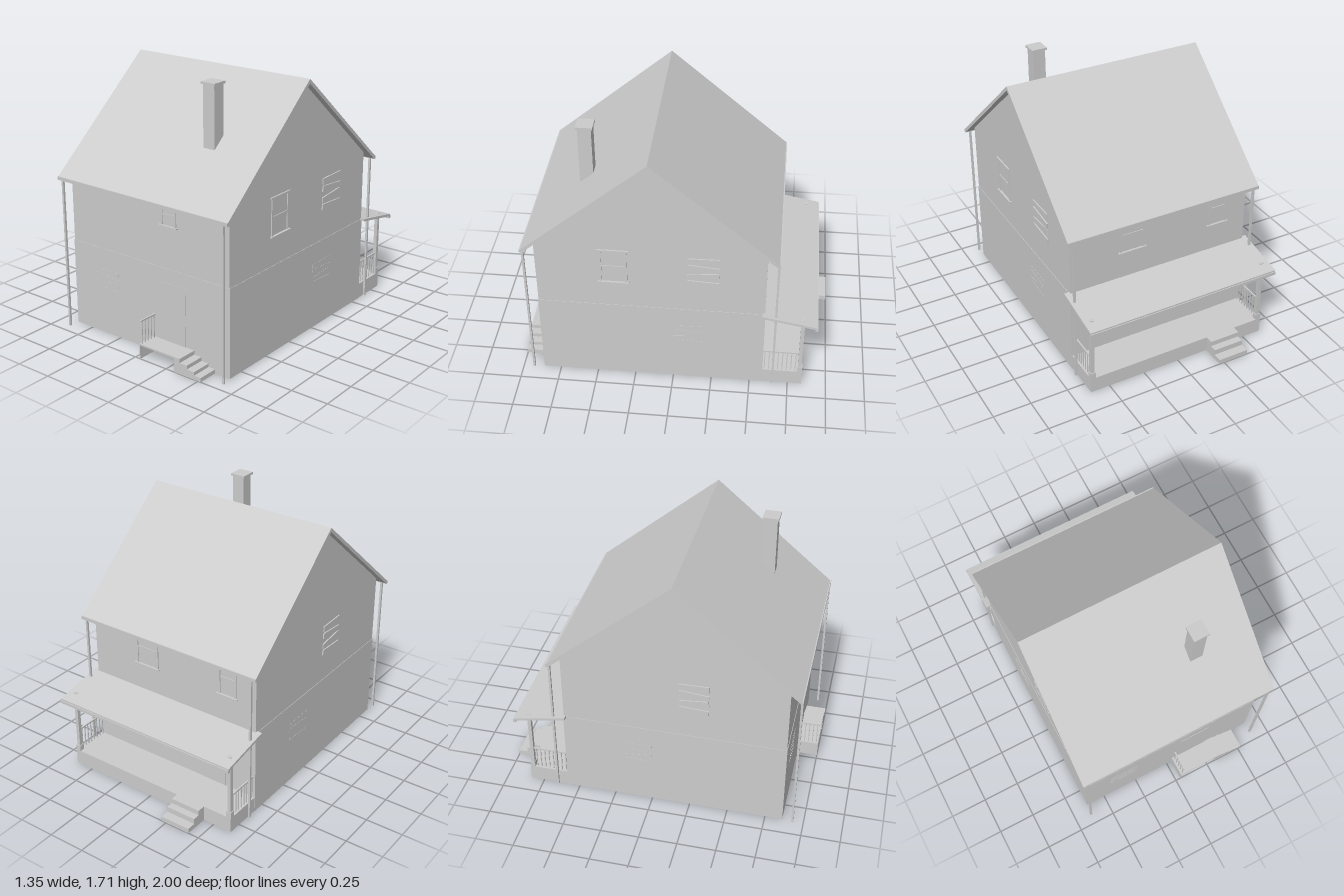
import * as THREE from 'three';

export function createModel() {
  const root = new THREE.Group();
  root.name = 'house';
  const grey = new THREE.MeshStandardMaterial({ color: 0xcccccc });
  grey.name = 'plain grey';

  const add = (geo, name, parent = root) => {
    const m = new THREE.Mesh(geo, grey);
    m.name = name;
    parent.add(m);
    return m;
  };
  // box given by its minimum and maximum on each axis
  const box = (name, x0, x1, y0, y1, z0, z1, parent) => {
    const g = new THREE.BoxGeometry(x1 - x0, y1 - y0, z1 - z0);
    g.translate((x0 + x1) / 2, (y0 + y1) / 2, (z0 + z1) / 2);
    return add(g, name, parent);
  };
  const poly = (pts) => new THREE.Shape(pts.map(([a, b]) => new THREE.Vector2(a, b)));
  const rect = (x0, x1, y0, y1) => [[x0, y0], [x1, y0], [x1, y1], [x0, y1]];
  // (z, y) profile extruded along x
  const prismX = (name, pts, x0, x1) => {
    const g = new THREE.ExtrudeGeometry(poly(pts), { depth: x1 - x0, bevelEnabled: false });
    return add(g.rotateY(-Math.PI / 2).translate(x1, 0, 0), name);
  };
  // (x, z) outline with a hole extruded upward
  const ring = (name, outer, inner, y0, y1) => {
    const s = poly(outer);
    s.holes.push(poly(inner));
    const g = new THREE.ExtrudeGeometry(s, { depth: y1 - y0, bevelEnabled: false });
    return add(g.rotateX(Math.PI / 2).translate(0, y1, 0), name);
  };

  // Walls: hollow lower storey, slightly proud of the gabled upper storey
  ring('lowerWalls', rect(-0.633, 0.633, -0.583, 0.863), rect(-0.622, 0.622, -0.572, 0.852), 0, 0.585);
  prismX('upperWalls', [[-0.58, 0.58], [0.86, 0.58], [0.86, 1.06], [0.14, 1.67], [-0.58, 1.06]], -0.63, 0.63);
  ring('groundFloor', rect(-0.625, 0.625, -0.575, 0.855), rect(0.245, 0.31, 0.53, 0.595), 0.09, 0.1);

  // Main roof, gutters and downspouts
  prismX('roof', [[0.935, 1.02], [0.14, 1.695], [-0.655, 1.02], [-0.645, 1.0], [0.14, 1.666], [0.925, 1.0]], -0.675, 0.675);
  for (const z of [0.93, -0.65]) {
    box('gutter', -0.675, 0.675, 1.0, 1.022, z - 0.01, z + 0.01);
    for (const s of [-1, 1]) {
      box('downspout', s * 0.638 - 0.007, s * 0.638 + 0.007, 0, 1.01, z - 0.007, z + 0.007);
    }
  }

  // Chimney
  ring('chimney', rect(0.235, 0.32, 0.52, 0.605), rect(0.245, 0.31, 0.53, 0.595), 0.09, 1.695);
  box('chimneyCap', 0.225, 0.33, 1.69, 1.705, 0.51, 0.615);

  // Railing running along z
  const railing = (x, z0, z1, n) => {
    const g = new THREE.Group();
    g.name = 'railing';
    root.add(g);
    box('topRail', x - 0.005, x + 0.005, 0.252, 0.262, z0, z1, g);
    for (let i = 0; i < n; i++) {
      const z = z0 + (z1 - z0) * (i + 0.5) / n;
      box('baluster', x - 0.003, x + 0.003, 0.1, 0.255, z - 0.003, z + 0.003, g);
    }
  };

  // Back porch: hollow base, floor, posts, railings and roof
  box('porchFloor', -0.63, 0.63, 0.09, 0.104, -0.84, -0.58);
  box('porchSkirt', -0.63, 0.63, 0, 0.1, -0.84, -0.83);
  for (const s of [-1, 1]) {
    box('porchSideSkirt', s * 0.625 - 0.005, s * 0.625 + 0.005, 0, 0.1, -0.84, -0.58);
    box('postBase', s * 0.613 - 0.017, s * 0.613 + 0.017, 0.1, 0.145, -0.84, -0.807);
    box('porchPost', s * 0.613 - 0.012, s * 0.613 + 0.012, 0.1, 0.55, -0.835, -0.811);
    railing(s * 0.615, -0.81, -0.58, 8);
  }
  prismX('porchRoof', [[-0.565, 0.578], [-0.565, 0.595], [-0.912, 0.53], [-0.912, 0.513]], -0.665, 0.665);
  box('porchGutter', -0.665, 0.665, 0.5, 0.52, -0.918, -0.898);
  prismX('backSteps', [[-0.83, 0], [-0.83, 0.104], [-0.893, 0.104], [-0.893, 0.07], [-0.94, 0.07],
    [-0.94, 0.033], [-1, 0.033], [-1, 0]], -0.425, -0.215);

  // Front landing with side steps
  box('landing', 0.035, 0.36, 0.092, 0.102, 0.86, 1.0);
  box('landingEnd', 0.035, 0.041, 0, 0.1, 0.86, 1.0);
  const steps = poly([[0.315, 0], [0.52, 0], [0.52, 0.027], [0.47, 0.027], [0.47, 0.05], [0.415, 0.05],
    [0.415, 0.075], [0.36, 0.075], [0.36, 0.102], [0.315, 0.102]]);
  add(new THREE.ExtrudeGeometry(steps, { depth: 0.14, bevelEnabled: false }).translate(0, 0, 0.86), 'frontSteps');
  railing(0.05, 0.865, 1.0, 5);

  // Wall fittings are made facing +z, then turned onto a wall
  const onWall = (name, side, along, y) => {
    const g = new THREE.Group();
    g.name = name;
    const place = {
      front: [along, y, 0.86, 0], back: [along, y, -0.58, Math.PI],
      plusX: [0.63, y, along, Math.PI / 2], minusX: [-0.63, y, along, -Math.PI / 2],
    }[side];
    g.position.set(place[0], place[1], place[2]);
    g.rotation.y = place[3];
    root.add(g);
    return g;
  };
  const sashWindow = (side, along, y, w, h) => {
    const g = onWall('window', side, along, y);
    const a = w / 2, b = h / 2;
    box('pane', -a, a, -b, b, -0.005, 0.001, g);
    for (const s of [-1, 1]) box('jamb', s * a - 0.007, s * a + 0.007, -b, b, -0.005, 0.007, g);
    box('lintel', -a - 0.018, a + 0.018, b, b + 0.012, -0.005, 0.01, g);
    box('sill', -a - 0.018, a + 0.018, -b - 0.008, -b, -0.005, 0.016, g);
    box('meetingRail', -a, a, -0.006, 0.006, -0.005, 0.006, g);
  };
  const boardedWindow = (side, along, y, w, h, front) => {
    const g = onWall('boardedWindow', side, along, y);
    [0.02, -0.09, 0.1, -0.05].forEach((tilt, i) => {
      const m = add(new THREE.BoxGeometry(w, h * 0.17, 0.008), 'board', g);
      m.position.set(0, h * (0.39 - 0.26 * i), front - 0.004);
      m.rotation.z = tilt;
    });
  };
  const door = (side, along, w) => {
    const g = onWall('door', side, along, 0.3);
    box('doorPanel', -w / 2, w / 2, -0.2, 0.19, 0, 0.006, g);
  };

  sashWindow('front', 0.172, 0.933, 0.105, 0.135);
  sashWindow('plusX', 0.37, 0.9, 0.16, 0.235);
  sashWindow('back', 0.2, 0.9, 0.16, 0.235);
  sashWindow('back', -0.42, 0.9, 0.12, 0.235);
  boardedWindow('plusX', -0.19, 0.895, 0.2, 0.23, 0.009);
  boardedWindow('minusX', 0.27, 0.88, 0.19, 0.23, 0.009);
  boardedWindow('front', -0.35, 0.37, 0.2, 0.16, 0.0045);
  boardedWindow('plusX', -0.1, 0.37, 0.2, 0.16, 0.0045);
  boardedWindow('minusX', -0.1, 0.37, 0.2, 0.16, 0.0045);
  boardedWindow('back', 0.1, 0.38, 0.2, 0.16, 0.0045);
  door('front', 0.19, 0.21);
  door('back', -0.32, 0.18);

  return root;
}
